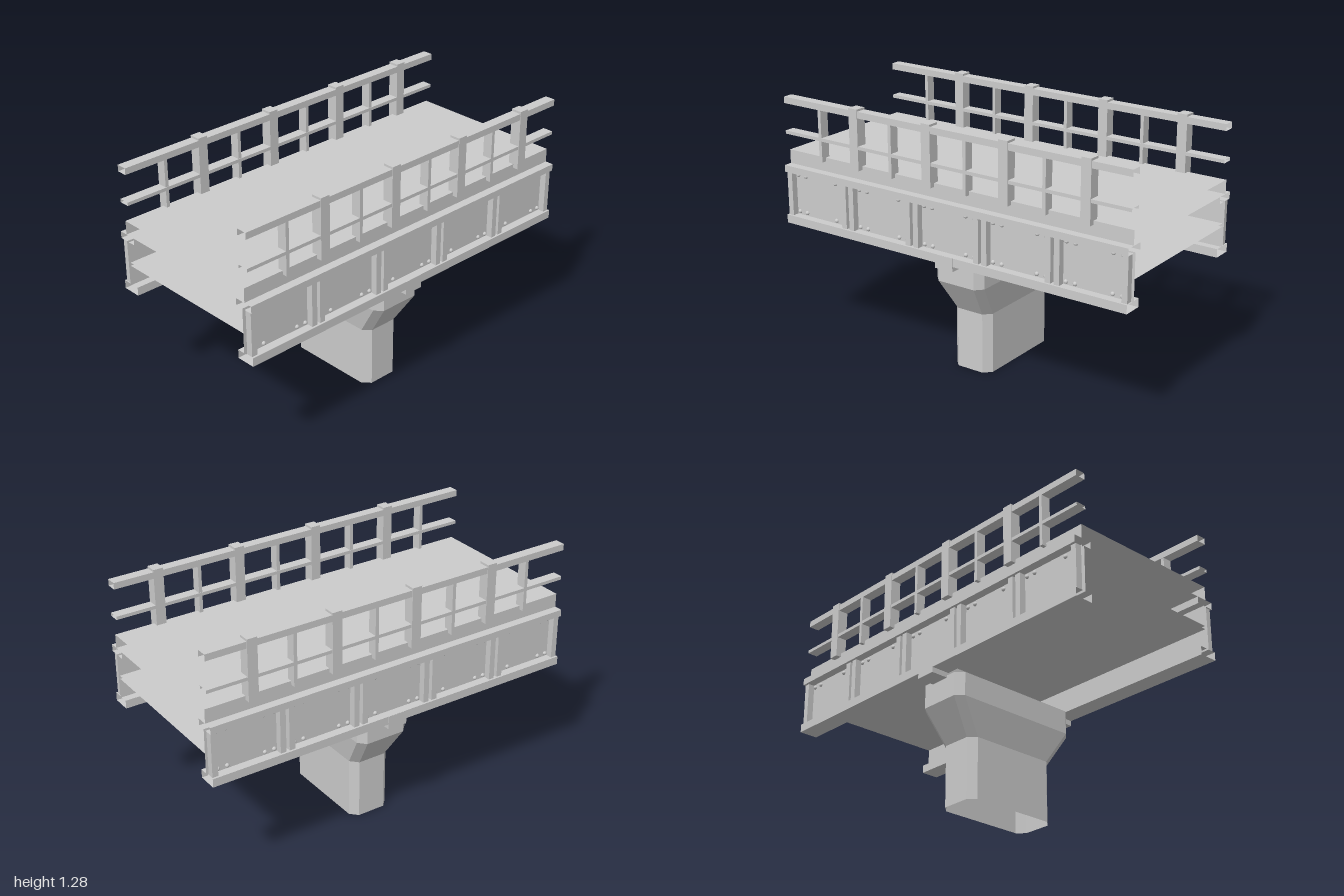
import * as THREE from 'three';

export function createModel() {
  const model = new THREE.Group();
  // Double sided: the span and the pier are hollow with open ends
  const concrete = new THREE.MeshStandardMaterial({ color: 0xcccccc, side: THREE.DoubleSide });
  concrete.name = 'plainGrey';

  const add = (name, geometry, parent = model) => {
    const mesh = new THREE.Mesh(geometry, concrete);
    mesh.name = name;
    parent.add(mesh);
    return mesh;
  };

  // Box from its limits on each axis
  const box = (name, x, y, z, parent, openEnds = false) => {
    const g = new THREE.BoxGeometry(x[1] - x[0], y[1] - y[0], z[1] - z[0]);
    g.translate((x[0] + x[1]) / 2, (y[0] + y[1]) / 2, (z[0] + z[1]) / 2);
    if (openEnds) {
      // drop the two faces across x
      g.setIndex(Array.from(g.index.array).slice(12));
      g.clearGroups();
    }
    return add(name, g, parent);
  };

  // Full-length box with open ends, so the next section can join on
  const span = (name, y, z, parent) => box(name, [-1, 1], y, z, parent, true);

  // Flat-faced skin through matching rings of points
  const loft = (rings, capTop = false) => {
    const corners = [];
    const count = rings[0].length;
    for (let i = 0; i < rings.length - 1; i++) {
      for (let k = 0; k < count; k++) {
        const n = (k + 1) % count;
        const a = rings[i][k], b = rings[i][n], c = rings[i + 1][n], d = rings[i + 1][k];
        corners.push(...a, ...b, ...c, ...a, ...c, ...d);
      }
    }
    if (capTop) {
      const top = rings[rings.length - 1];
      for (let k = 1; k < count - 1; k++) corners.push(...top[0], ...top[k], ...top[k + 1]);
    }
    const g = new THREE.BufferGeometry();
    g.setAttribute('position', new THREE.Float32BufferAttribute(corners, 3));
    g.computeVertexNormals();
    return g;
  };

  // Deck and lower floor between the girders
  span('deck', [0.925, 0.996], [-0.42, 0.42]);
  span('lowerFloor', [0.765, 0.782], [-0.405, 0.405]);

  // Bearing beam across the pier
  box('bearing', [-0.053, 0.05], [0.593, 0.662], [-0.465, 0.465]);

  // Pier: chamfered rectangular rings
  const levels = [
    // y, half x, half z
    [0, 0.11, 0.263],
    [0.312, 0.11, 0.263],
    [0.484, 0.141, 0.373],
    [0.605, 0.141, 0.373],
  ];
  const pierRings = levels.map(([y, x, z]) => {
    const a = x - 0.036, b = z - 0.038;
    return [[a, z], [x, b], [x, -b], [a, -z], [-a, -z], [-x, -b], [-x, b], [-a, z]]
      .map(([px, pz]) => [px, y, pz]);
  });
  add('pier', loft(pierRings, true));

  // I-shaped girder section as z, y
  const girderSection = [
    [0.365, 0.62], [0.464, 0.62], [0.464, 0.663], [0.42, 0.663], [0.42, 0.89], [0.464, 0.89],
    [0.464, 0.925], [0.365, 0.925], [0.365, 0.89], [0.405, 0.89], [0.405, 0.663], [0.365, 0.663],
  ];
  const girderGeometry = loft([1, -1].map((x) => girderSection.map(([z, y]) => [x, y, z])));

  const rivetGeometry = new THREE.SphereGeometry(0.011, 10, 5, 0, Math.PI * 2, 0, Math.PI / 2);
  rivetGeometry.rotateX(Math.PI / 2);

  // Everything along one edge; turned for the other, with x order kept
  for (const side of [1, -1]) {
    const edge = new THREE.Group();
    edge.name = side > 0 ? 'frontEdge' : 'backEdge';
    model.add(edge);
    if (side < 0) edge.rotation.y = Math.PI;

    add('girder', girderGeometry, edge);

    // Five web panels, each with two stiffeners and eight rivets
    for (let p = -2; p <= 2; p++) {
      const cx = p * 0.4015;
      for (const s of [-1, 1]) {
        const sx = cx + s * 0.177;
        box('stiffener', [sx - 0.015, sx + 0.015], [0.663, 0.888], [0.42, 0.4535], edge);
        for (const dx of [0.098, 0.147]) {
          for (const y of [0.678, 0.871]) {
            add('rivet', rivetGeometry, edge).position.set(cx + s * dx, y, 0.42);
          }
        }
      }
    }

    // Railing, fixed to the outside of the deck
    span('topRail', [1.241, 1.274], [0.391, 0.445], edge);
    span('midRail', [1.084, 1.101], [0.391, 0.445], edge);
    for (let i = 0; i < 4; i++) {
      const wide = side * (-0.552 + i * 0.44);
      const thin = side * (-0.771 + i * 0.44);
      box('post', [wide - 0.026, wide + 0.026], [0.977, 1.285], [0.391, 0.448], edge);
      box('baluster', [thin - 0.009, thin + 0.009], [0.977, 1.241], [0.394, 0.445], edge);
    }
  }

  return model;
}
